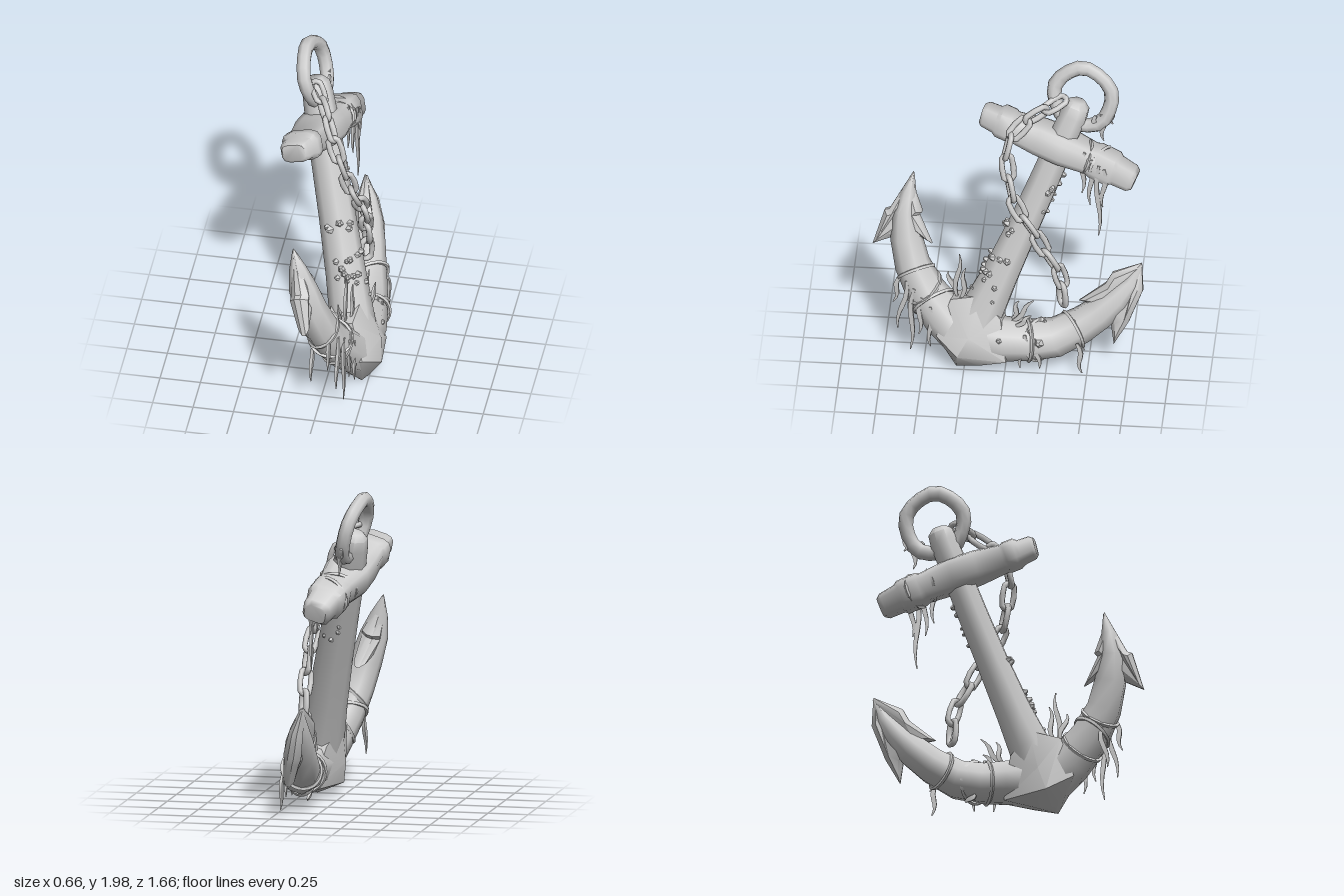
import * as THREE from 'three';
import { toCreasedNormals } from 'three/addons/utils/BufferGeometryUtils.js';
import { ConvexGeometry } from 'three/addons/geometries/ConvexGeometry.js';

const V = (x, y, z = 0) => new THREE.Vector3(x, y, z);

export function createModel() {
  const model = new THREE.Group();
  const mat = new THREE.MeshStandardMaterial({ color: 0xcccccc, side: THREE.DoubleSide });

  // The anchor is modelled flat (u, y, d = out of its plane), then leaned over
  const lean = new THREE.Matrix4().makeBasis(
    V(0.111, 0, -1), V(-0.288, 1, 0), V(0.956, 0.275, 0.106)).setPosition(0.25, 0, 0);

  function add(name, geo, crease = 0.7, parent = model) {
    let g = geo.index ? geo.toNonIndexed() : geo;
    g.applyMatrix4(lean);
    g = toCreasedNormals(g, crease);
    const mesh = new THREE.Mesh(g, mat);
    mesh.name = name;
    parent.add(mesh);
  }
  function group(name) {
    const g = new THREE.Group();
    g.name = name;
    model.add(g);
    return g;
  }
  let seed = 7;
  const rnd = () => (seed = (seed * 16807) % 2147483647) / 2147483647;

  // Skin through stations [u, y, d, half width in plane, half width out of plane]
  function loft(st, sides = 8, power = 1) {
    const pos = [], idx = [];
    const pw = v => Math.sign(v) * Math.abs(v) ** power;
    st.forEach(([u, y, d, hi, ho], i) => {
      const a = st[Math.max(i - 1, 0)], b = st[Math.min(i + 1, st.length - 1)];
      const l = Math.hypot(b[0] - a[0], b[1] - a[1]) || 1;
      const px = -(b[1] - a[1]) / l, py = (b[0] - a[0]) / l;
      for (let j = 0; j < sides; j++) {
        const t = (j + 0.5) / sides * Math.PI * 2;
        const c = pw(Math.cos(t)) * hi, s = pw(Math.sin(t)) * ho;
        pos.push(u + px * c, y + py * c, d + s);
      }
    });
    for (let i = 0; i < st.length - 1; i++)
      for (let j = 0; j < sides; j++) {
        const k = (j + 1) % sides, a = i * sides, b = a + sides;
        idx.push(a + j, a + k, b + k, a + j, b + k, b + j);
      }
    const e = (st.length - 1) * sides;
    for (let j = 1; j < sides - 1; j++) idx.push(0, j + 1, j, e, e + j, e + j + 1);
    const g = new THREE.BufferGeometry();
    g.setAttribute('position', new THREE.Float32BufferAttribute(pos, 3));
    g.setIndex(idx);
    return g;
  }

  // Shank
  add('shank', loft([
    [-0.2, 0.25, 0, 0.15, 0.14], [-0.13, 0.42, 0, 0.135, 0.135], [-0.04, 0.62, 0, 0.115, 0.125],
    [0.1, 0.95, 0, 0.1, 0.115], [0.21, 1.22, 0, 0.095, 0.11], [0.32, 1.5, 0, 0.09, 0.105],
    [0.385, 1.66, 0, 0.088, 0.095], [0.405, 1.72, 0, 0.08, 0.085], [0.412, 1.75, 0, 0.045, 0.055]]), 0.9);

  // Crown: pointed faceted block where the arms meet
  const crown = [V(-0.3, 0.015, 0), V(-0.2, 0.25, 0.17), V(-0.2, 0.27, -0.175), V(-0.27, 0.12, 0.155), V(-0.25, 0.14, -0.185)];
  for (const [u, y, d] of [[-0.29, 0.05, 0.06], [-0.41, 0.22, 0.1], [-0.33, 0.45, 0.08],
    [-0.14, 0.5, 0.1], [-0.02, 0.36, 0.08], [0.02, 0.1, 0.09], [-0.15, 0.055, 0.07]])
    crown.push(V(u, y, d), V(u, y, -d));
  add('crown', new ConvexGeometry(crown), 0.75);

  // Arms, each running through its fluke to the tip
  add('frontArm', loft([
    [-0.25, 0.2, 0, 0.14, 0.13], [-0.38, 0.32, 0, 0.14, 0.125], [-0.5, 0.46, 0, 0.125, 0.12],
    [-0.585, 0.62, 0, 0.11, 0.11], [-0.625, 0.78, 0, 0.1, 0.1], [-0.635, 0.94, 0, 0.075, 0.09],
    [-0.615, 1.07, 0, 0.045, 0.055], [-0.59, 1.185, 0, 0.006, 0.008]]), 0.9);
  add('backArm', loft([
    [-0.2, 0.22, 0, 0.14, 0.14], [0, 0.215, -0.005, 0.135, 0.13], [0.15, 0.215, -0.035, 0.125, 0.12],
    [0.3, 0.24, -0.07, 0.12, 0.115], [0.45, 0.325, -0.095, 0.11, 0.11], [0.57, 0.42, -0.1, 0.1, 0.1],
    [0.67, 0.52, -0.1, 0.08, 0.085], [0.75, 0.62, -0.1, 0.05, 0.055], [0.81, 0.74, -0.095, 0.006, 0.008]]), 0.9);

  // Flukes: barbed bevelled blades, thinning towards the point (the first corner)
  function fluke(name, pts, d) {
    const shape = new THREE.Shape(pts.map(([u, y]) => new THREE.Vector2(u, y)));
    const g = new THREE.ExtrudeGeometry(shape, {
      depth: 0.04, bevelThickness: 0.04, bevelSize: 0.028, bevelOffset: -0.028, bevelSegments: 1 });
    g.translate(0, 0, -0.02);
    const p = g.attributes.position;
    for (let i = 0; i < p.count; i++) {
      const r = Math.hypot(p.getX(i) - pts[0][0], p.getY(i) - pts[0][1]);
      p.setZ(i, p.getZ(i) * Math.min(1, 0.1 + r / 0.25, Math.max(0.6, 2.3 - r * 4)));
    }
    add(name, g.translate(0, 0, d), 0.6);
  }
  fluke('frontFluke', [[-0.59, 1.195], [-0.73, 0.95], [-0.76, 0.94], [-0.83, 0.72], [-0.72, 0.77],
    [-0.56, 0.81], [-0.465, 0.76], [-0.55, 0.93], [-0.53, 0.95], [-0.575, 1.07]], 0);
  fluke('backFluke', [[0.81, 0.75], [0.63, 0.67], [0.59, 0.6], [0.43, 0.475], [0.55, 0.46], [0.63, 0.35],
    [0.65, 0.23], [0.74, 0.38], [0.755, 0.42], [0.82, 0.58]], -0.1);

  // Stock: heavy squared crossbar with a collar near each end
  add('stock', loft([
    [-0.175, 1.605, 0, 0.05, 0.075], [-0.155, 1.6, 0, 0.066, 0.092], [-0.085, 1.575, 0, 0.072, 0.097],
    [-0.06, 1.57, 0, 0.088, 0.118], [0.0, 1.55, 0, 0.088, 0.118], [0.02, 1.543, 0, 0.08, 0.108],
    [0.18, 1.5, 0, 0.098, 0.135], [0.33, 1.455, 0, 0.1, 0.145], [0.5, 1.4, 0, 0.087, 0.112],
    [0.53, 1.39, 0, 0.098, 0.12], [0.64, 1.35, 0, 0.098, 0.118], [0.66, 1.343, 0, 0.082, 0.1],
    [0.75, 1.305, 0, 0.075, 0.09], [0.775, 1.295, 0, 0.055, 0.07]], 12, 0.55), 0.9);

  // Ring, slightly lumpy
  const ring = new THREE.TorusGeometry(0.178, 0.045, 8, 18);
  const rp = ring.attributes.position;
  for (let i = 0; i < rp.count; i++) {
    const t = Math.atan2(rp.getY(i), rp.getX(i)), k = 1 + 0.025 * Math.sin(5 * t);
    rp.setXYZ(i, rp.getX(i) * k, rp.getY(i) * k, rp.getZ(i));
  }
  add('ring', ring.translate(0.44, 1.773, 0), 1.2);

  // Chain: stretched links alternately turned along a hanging path
  const chain = group('chain');
  const path = new THREE.CatmullRomCurve3([
    V(0.28, 1.73, 0.06), V(0.12, 1.63, 0.14), V(0.02, 1.49, 0.18), V(0.025, 1.31, 0.18), V(0.07, 1.12, 0.17),
    V(0.18, 0.95, 0.14), V(0.26, 0.8, 0.09), V(0.335, 0.65, 0.03), V(0.34, 0.53, -0.01)]);
  const links = 12;
  for (let i = 0; i < links; i++) {
    const g = new THREE.TorusGeometry(0.036, 0.0185, 6, 12), p = g.attributes.position;
    for (let k = 0; k < p.count; k++) {
      const x = p.getX(k);
      if (Math.abs(x) > 1e-5) p.setX(k, x + Math.sign(x) * 0.04);
    }
    g.rotateX(i % 2 ? 1.15 : -0.4);
    const at = i / (links - 1);
    g.applyQuaternion(new THREE.Quaternion().setFromUnitVectors(V(1, 0, 0), path.getTangentAt(at)));
    const c = path.getPointAt(at);
    add('chainLink', g.translate(c.x, c.y, c.z), 1.2, chain);
  }

  // Weed wound round the arms and stock: [u, y, d, axis angle, rIn, rOut, slant]
  const wraps = group('weedWraps');
  for (const [u, y, d, ang, ri, ro, slant] of [
    [-0.45, 0.4, 0, 2.25, 0.13, 0.12, 0.05], [-0.51, 0.48, 0, 2.2, 0.122, 0.117, -0.05],
    [-0.56, 0.57, 0, 2.05, 0.114, 0.11, 0.04], [0.13, 0.215, -0.03, 0, 0.125, 0.12, 0.05],
    [0.2, 0.22, -0.045, 0.1, 0.122, 0.117, -0.07], [0.4, 0.295, -0.085, 0.5, 0.114, 0.111, 0.06],
    [0.47, 1.41, 0, -0.32, 0.09, 0.12, 0.03], [0.56, 1.38, 0, -0.32, 0.1, 0.122, -0.04]]) {
    const pts = [];
    for (let k = 0; k < 12; k++) {
      const t = k / 12 * Math.PI * 2, c = Math.cos(t) * ri, s = Math.sin(t) * slant;
      pts.push(V(u - Math.sin(ang) * c + Math.cos(ang) * s, y + Math.cos(ang) * c + Math.sin(ang) * s, d + Math.sin(t) * ro));
    }
    add('weedWrap', new THREE.TubeGeometry(new THREE.CatmullRomCurve3(pts, true), 24, 0.012, 4, true), 1, wraps);
  }

  // Loose weed strands, falling plumb: [start u, y, d, end u, y]
  const weed = group('weedStrands');
  for (const [u, y, d, u2, y2] of [
    [-0.64, 0.56, 0.06, -0.7, 0.37], [-0.6, 0.54, 0.1, -0.66, 0.21], [-0.55, 0.5, 0.11, -0.59, 0.08],
    [-0.5, 0.45, 0.115, -0.53, 0.2], [-0.45, 0.4, 0.115, -0.45, 0.13], [-0.58, 0.5, -0.09, -0.62, 0.25],
    [-0.3, 0.46, 0.03, -0.28, 0.75], [-0.27, 0.46, 0.06, -0.23, 0.67], [-0.32, 0.46, 0, -0.35, 0.61],
    [0.04, 0.33, 0, 0.18, 0.49], [0.07, 0.32, 0.04, 0.17, 0.4], [0.03, 0.33, -0.04, 0.08, 0.46],
    [0.13, 0.28, 0.08, 0.1, 0.05], [0.19, 0.26, 0.07, 0.21, 0.06], [0.2, 0.14, -0.12, 0.24, 0.09],
    [0.44, 0.24, 0.01, 0.47, 0.04], [0.41, 0.38, 0, 0.48, 0.18],
    [0.48, 1.47, 0.115, 0.45, 1.19], [0.52, 1.43, 0.12, 0.51, 1.12], [0.57, 1.4, 0.125, 0.55, 0.92],
    [0.6, 1.38, 0.12, 0.59, 1.12], [0.56, 1.69, 0.03, 0.575, 1.51], [0.53, 1.68, 0.04, 0.53, 1.57], [0.6, 1.7, 0, 0.63, 1.62]]) {
    const st = [], bend = 0.014 * (rnd() > 0.5 ? 1 : -1);
    for (let k = 0; k <= 6; k++) {
      const t = k / 6, w = 0.004 + 0.017 * Math.sin(Math.PI * (0.15 + 0.85 * t));
      st.push([u + (u2 - u) * t + bend * Math.sin(t * 6), y + (y2 - y) * t, d + 0.29 * (y2 - y) * t, w, w * 0.7]);
    }
    add('weedStrand', loft(st, 4), 0.5, weed);
  }

  // Barnacles: stubby cones scattered over shank, crown and back arm
  const barnacles = group('barnacles');
  function barnacle(p, out) {
    const r = 0.022 + 0.014 * rnd();
    const g = new THREE.CylinderGeometry(r * 0.3, r, r * 1.3, 5);
    g.applyQuaternion(new THREE.Quaternion().setFromUnitVectors(V(0, 1, 0), out.normalize()));
    add('barnacle', g.translate(p.x, p.y, p.z), 0.3, barnacles);
  }
  for (let i = 0; i < 32; i++) {
    const low = i < 22, y = low ? 0.45 + 0.5 * rnd() : 1.08 + 0.25 * rnd();
    const a = low ? rnd() * 2.4 - 0.5 : 2.2 + rnd() * 1.4;
    const w = 0.122 - 0.03 * (y - 0.45), c = -Math.cos(a), s = Math.sin(a);
    barnacle(V(-0.115 + (y - 0.45) * 0.42 + c * w * 0.85, y - c * w * 0.35, s * w), V(c, -c * 0.4, s));
  }
  for (let i = 0; i < 10; i++) {
    const u = -0.1 + 0.35 * rnd(), a = rnd() * 2.2 - 0.3;
    barnacle(V(u, 0.22 + Math.sin(a) * 0.115, Math.cos(a) * 0.115 - Math.max(0, u) * 0.22), V(0, Math.sin(a), Math.cos(a)));
  }
  return model;
}
